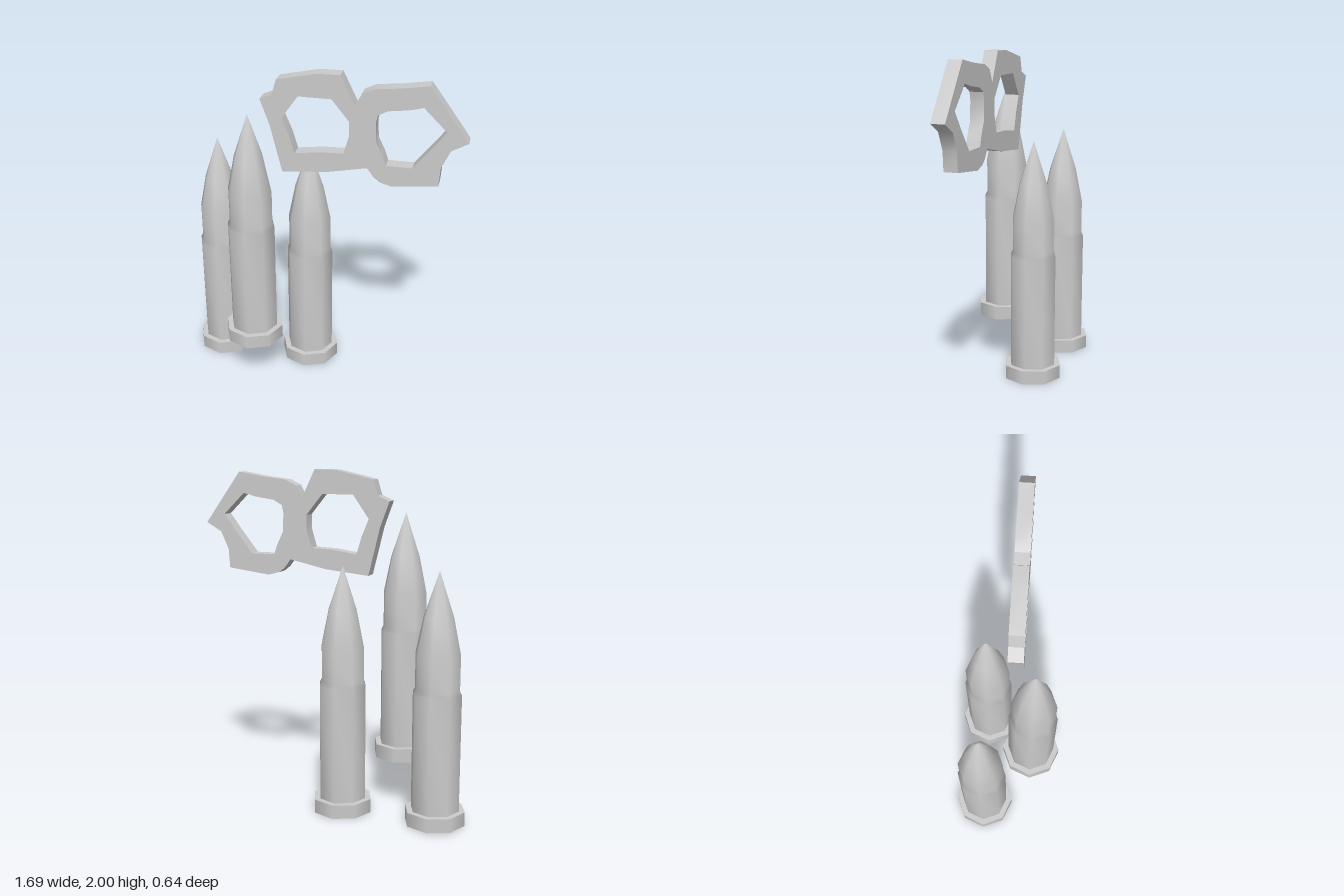
import * as THREE from 'three';
import { mergeVertices, toCreasedNormals } from 'three/addons/utils/BufferGeometryUtils.js';

const material = new THREE.MeshStandardMaterial({ color: 0xcccccc });
const SIDES = 8;
const points = (list) => list.map(([x, y]) => new THREE.Vector2(x, y));

function addMesh(parent, name, geometry) {
  const mesh = new THREE.Mesh(geometry, material);
  mesh.name = name;
  parent.add(mesh);
  return mesh;
}

// Straight case, small shoulder and pointed tip, smooth all round and over the apex
function createBody() {
  const profile = points([
    [0.143, 0.08], [0.143, 0.77], [0.131, 0.795], [0.131, 1.0], [0.087, 1.21], [0, 1.467],
  ]);
  const lathe = new THREE.LatheGeometry(profile, SIDES);
  lathe.deleteAttribute('normal');
  lathe.deleteAttribute('uv');
  const body = mergeVertices(lathe);
  body.computeVertexNormals();
  return body;
}

// One octagonal cartridge standing on its rim
function createCartridge(name, x, y, z) {
  const cartridge = new THREE.Group();
  cartridge.name = name;
  cartridge.position.set(x, y, z);
  const rim = new THREE.CylinderGeometry(0.178, 0.178, 0.083, SIDES);
  addMesh(cartridge, 'rim', rim).position.y = 0.0415;
  addMesh(cartridge, 'caseAndTip', createBody());
  return cartridge;
}

// Flat plate with two finger holes: outline anticlockwise, holes clockwise
function createPlate() {
  const outline = new THREE.Shape(points([
    [-0.272, 1.672], [-0.24, 1.54], [-0.204, 1.394], [0.061, 1.42], [0.288, 1.468],
    [0.325, 1.418], [0.362, 1.388], [0.431, 1.369], [0.692, 1.4], [0.7, 1.513],
    [0.749, 1.619], [0.843, 1.672], [0.618, 1.98], [0.458, 1.953], [0.315, 1.937],
    [0.25, 1.905], [0.213, 1.83], [0.13, 2.0], [0, 1.998], [-0.23, 1.947],
    [-0.257, 1.857], [-0.328, 1.826],
  ]));
  outline.holes.push(
    new THREE.Path(points([
      [-0.108, 1.859], [0.082, 1.859], [0.14, 1.788], [0.183, 1.735], [0.183, 1.651],
      [0.151, 1.542], [0.019, 1.537], [-0.13, 1.516], [-0.161, 1.619], [-0.204, 1.722],
    ])),
    new THREE.Path(points([
      [0.59, 1.855], [0.722, 1.725], [0.638, 1.614], [0.542, 1.494], [0.394, 1.494],
      [0.373, 1.555], [0.336, 1.63], [0.331, 1.741], [0.341, 1.788], [0.394, 1.818],
      [0.51, 1.834],
    ])),
  );
  const geometry = new THREE.ExtrudeGeometry(outline, { depth: 0.083, bevelEnabled: false });
  geometry.translate(0, 0, -0.006);
  return toCreasedNormals(geometry, 0.65);
}

export function createModel() {
  const model = new THREE.Group();
  model.name = 'cartridgesAndKnucklePlate';
  model.add(
    createCartridge('rightCartridge', -0.668, 0, -0.143),
    createCartridge('raisedCartridge', -0.383, 0.288, 0.142),
    createCartridge('leftCartridge', -0.098, 0, -0.143),
  );
  addMesh(model, 'knucklePlate', createPlate());
  return model;
}
